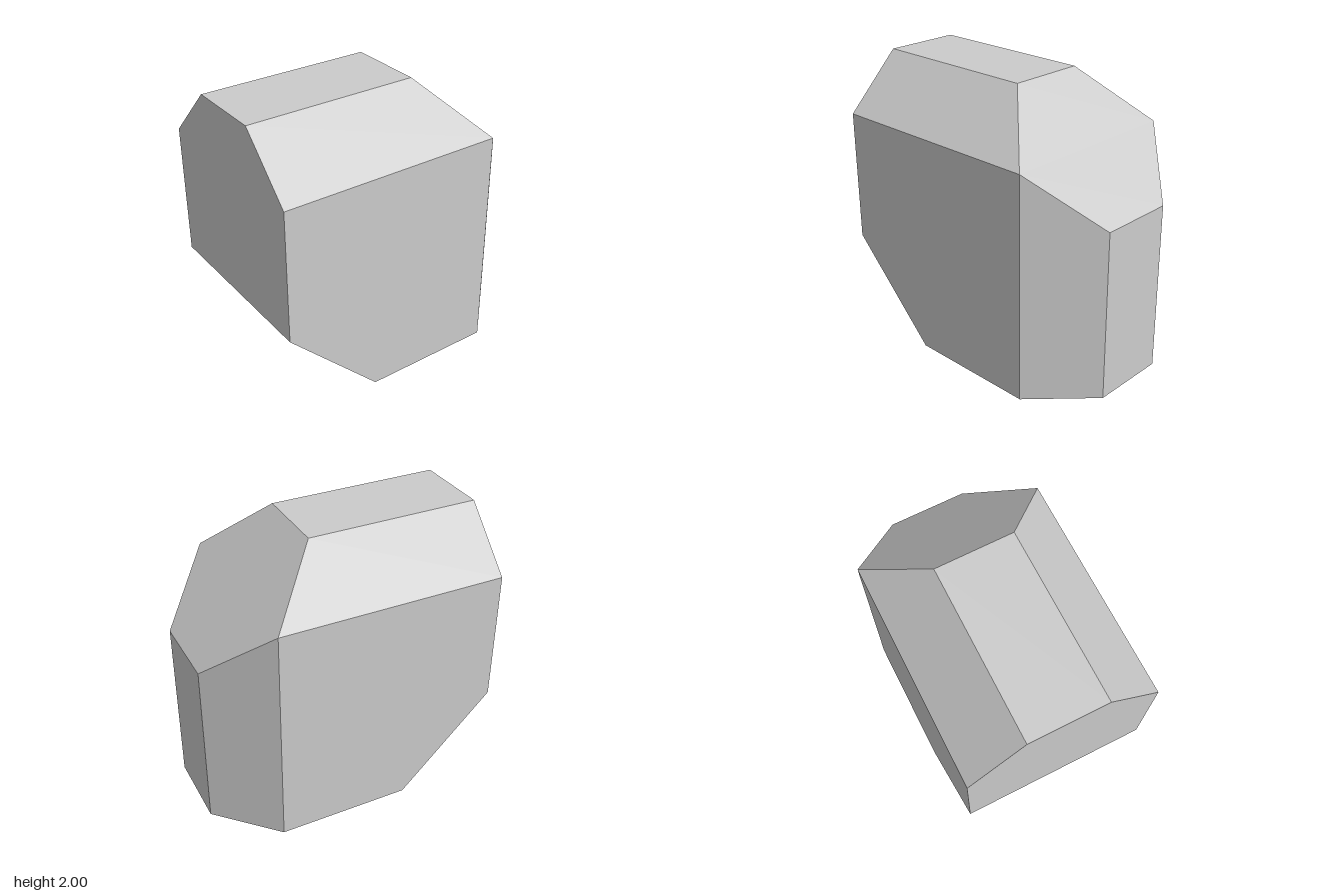
import * as THREE from 'three';
import { ConvexGeometry } from 'three/addons/geometries/ConvexGeometry.js';

export function createModel() {
  const group = new THREE.Group();
  group.name = 'elbowBlock';

  const side = 0.665;   // half width of the block
  const ridge = 0.275;  // half width of the flat top and flat back

  // Corners of one half, mirrored across x = 0
  const half = [
    // front face and sloped lower front
    [ridge, 2, 1], [side, 1.61, 1], [side, 0.667, 1], [side, 0, 0.333],
    // back column foot
    [side, 0, -0.61], [ridge, 0, -1],
    // sloped six-sided face joining the top and back
    [ridge, 2, -0.22], [side, 1.61, -0.61], [ridge, 1.22, -1],
  ];
  const points = half.flatMap(([x, y, z]) =>
    [1, -1].map((s) => new THREE.Vector3(s * x, y, z)));

  const block = new THREE.Mesh(
    new ConvexGeometry(points),
    new THREE.MeshStandardMaterial({ color: 0xcccccc, flatShading: true }),
  );
  block.name = 'chamferedBlock';
  group.add(block);
  return group;
}
